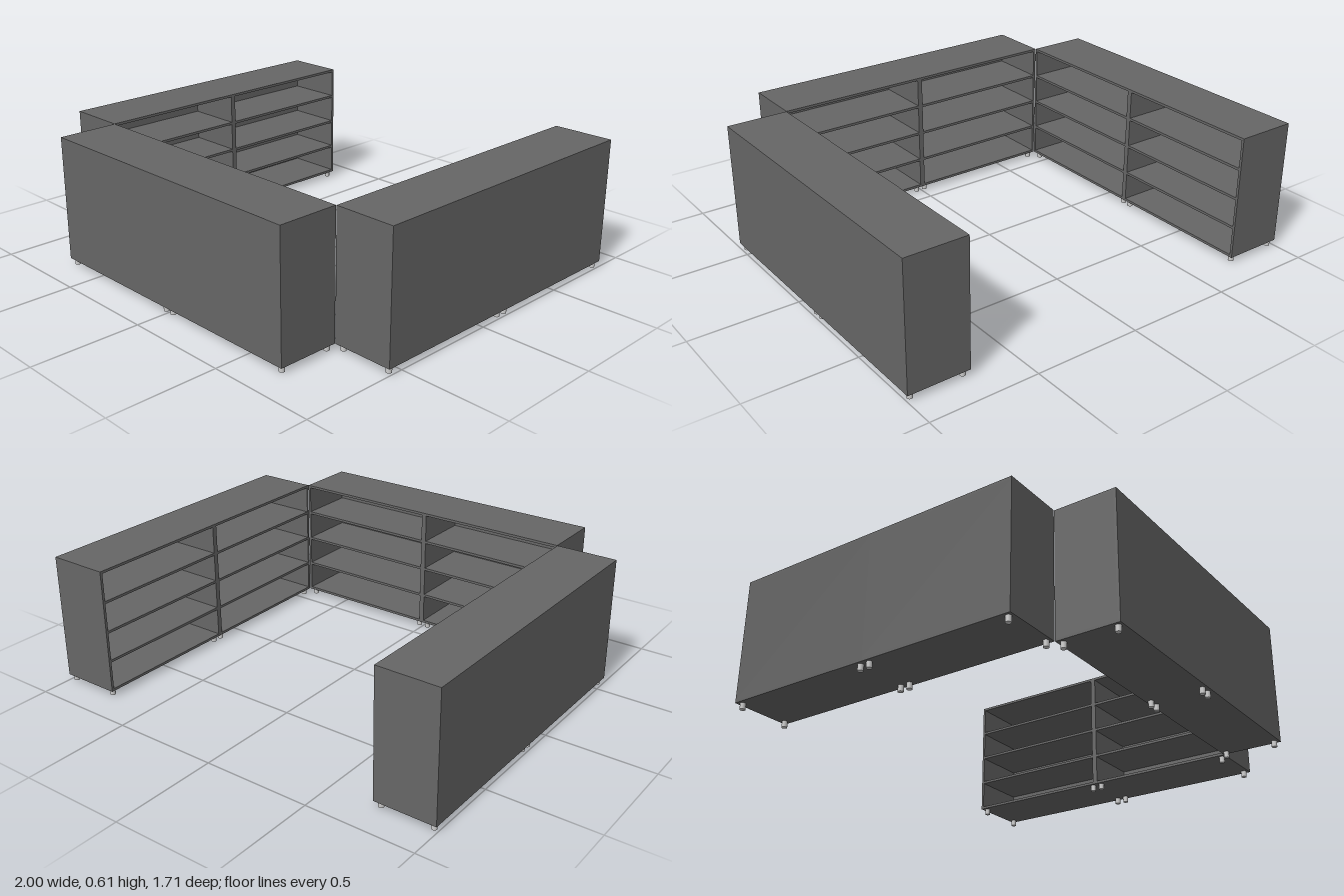
import * as THREE from 'three';

const T = 0.012;                 // panel thickness
const W = 0.713, D = 0.285;      // bookcase width and depth
const BASE = 0.028, TOP = 0.61;  // underside and top of the carcass
const H = TOP - BASE;

const panelMaterial = new THREE.MeshStandardMaterial({ color: 0x666666 });
const footMaterial = new THREE.MeshStandardMaterial({ color: 0xcccccc });

function addPanel(parent, name, w, h, d, x, y, z) {
  const mesh = new THREE.Mesh(new THREE.BoxGeometry(w, h, d), panelMaterial);
  mesh.name = name;
  mesh.position.set(x, y, z);
  parent.add(mesh);
}

// One bookcase on four feet, open towards -z
function createBookcase() {
  const group = new THREE.Group();
  group.name = 'bookcase';
  const midY = BASE + H / 2;
  const inner = W - 2 * T;

  addPanel(group, 'topPanel', W, T, D, 0, TOP - T / 2, 0);
  addPanel(group, 'bottomPanel', W, T, D, 0, BASE + T / 2, 0);
  addPanel(group, 'backPanel', W, H - 2 * T, T, 0, midY, D / 2 - T / 2);
  for (const s of [-1, 1]) {
    addPanel(group, 'sidePanel', T, H - 2 * T, D - T, s * (W / 2 - T / 2), midY, -T / 2);
  }

  // Three shelves make four equal compartments
  for (let i = 1; i <= 3; i++) {
    const y = BASE + T / 2 + ((H - T) * i) / 4;
    addPanel(group, 'shelf', inner, T, D - T, 0, y, -T / 2);
  }

  // Short round feet near the corners
  const footGeometry = new THREE.CylinderGeometry(0.0125, 0.0125, BASE, 16);
  for (const sx of [-1, 1]) {
    for (const sz of [-1, 1]) {
      const foot = new THREE.Mesh(footGeometry, footMaterial);
      foot.name = 'foot';
      foot.position.set(sx * (W / 2 - 0.023), BASE / 2, sz * (D / 2 - 0.023));
      group.add(foot);
    }
  }
  return group;
}

// Two bookcases side by side
function createRow(name, x, z, angle) {
  const row = new THREE.Group();
  row.name = name;
  for (const s of [-1, 1]) {
    const bookcase = createBookcase();
    bookcase.position.x = (s * W) / 2;
    row.add(bookcase);
  }
  row.position.set(x, 0, z);
  row.rotation.y = angle;
  return row;
}

export function createModel() {
  const model = new THREE.Group();
  model.name = 'shelvingEnclosure';
  const sideX = 1 - D / 2;
  // U-shaped layout with every open side facing inward
  model.add(createRow('frontRow', 0, 0.713, 0));
  model.add(createRow('rightRow', -sideX, -0.143, -Math.PI / 2));
  model.add(createRow('leftRow', sideX, -0.143, Math.PI / 2));
  return model;
}
